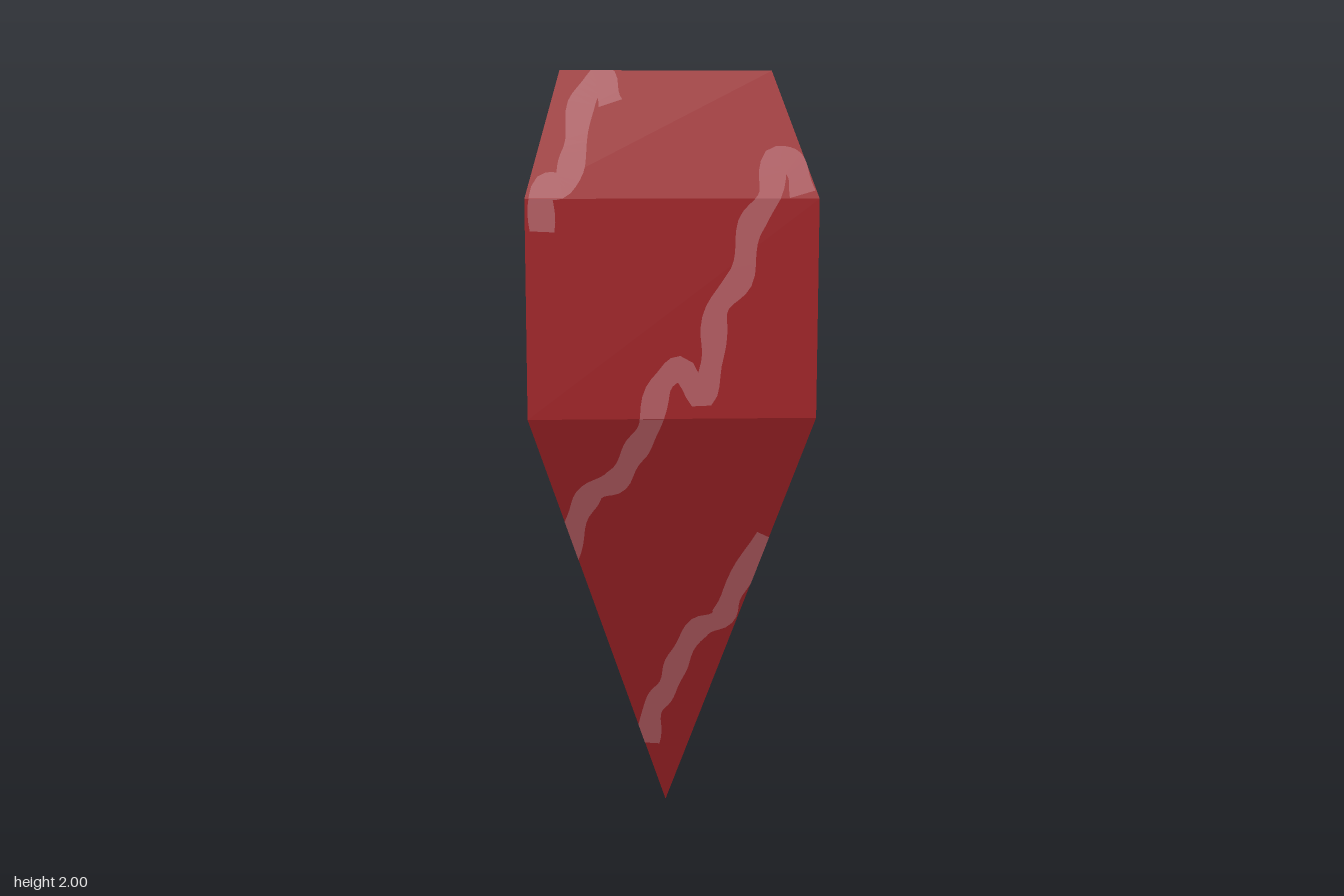
import * as THREE from 'three';

const V = (x, y, z) => new THREE.Vector3(x, y, z);

// Horizontal rings of the gem: corners run counter-clockwise seen from above, from front left
const ring = (x0, x1, z0, z1, y) => [V(x0, y, z1), V(x1, y, z1), V(x1, y, z0), V(x0, y, z0)];
const crown = ring(-0.274, 0.248, -0.275, 0.27, 2);
const shoulder = ring(-0.362, 0.362, -0.337, 0.337, 1.69);
const girdle = ring(-0.362, 0.362, -0.337, 0.337, 1.145);
const tip = V(0, 0, -0.01);

// Flat coordinates of each side as seen when facing it
const flat = {
  front: p => [p.x, p.y],
  right: p => [-p.z, p.y],
  back: p => [-p.x, p.y],
  left: p => [p.z, p.y],
  top: p => [p.x, -p.z],
};

// Centre lines of the veins on each side
const veins = {
  front: [
    [[-0.27, 0.76], [-0.24, 0.88], [-0.2, 0.95], [-0.14, 0.98], [-0.1, 1.05], [-0.06, 1.12], [-0.03, 1.23], [0.02, 1.27],
      [0.07, 1.2], [0.1, 1.3], [0.11, 1.42], [0.17, 1.5], [0.19, 1.62], [0.24, 1.7], [0.255, 1.79], [0.3, 1.77], [0.32, 1.7]],
    [[-0.32, 1.61], [-0.315, 1.72], [-0.27, 1.72], [-0.24, 1.8], [-0.22, 1.92], [-0.17, 1.98], [-0.15, 1.92]],
    [[-0.05, 0.19], [-0.04, 0.3], [0, 0.37], [0.03, 0.46], [0.08, 0.55], [0.14, 0.58], [0.17, 0.66], [0.25, 0.82]],
  ],
  right: [
    [[-0.27, 0.9], [-0.23, 1.03], [-0.17, 1.08], [-0.13, 1.18], [-0.09, 1.29], [-0.04, 1.33], [0, 1.23], [0.02, 1.37],
      [0.04, 1.5], [0.09, 1.58], [0.12, 1.7], [0.17, 1.77], [0.23, 1.76], [0.225, 1.87], [0.215, 2.02]],
    [[-0.09, 0.3], [-0.04, 0.48], [0.02, 0.6], [0.09, 0.65], [0.14, 0.73], [0.19, 0.85], [0.27, 0.93]],
    [[-0.265, 2.02], [-0.29, 1.88], [-0.32, 1.76]],
  ],
  back: [
    [[0.18, 1.96], [0.2, 1.85], [0.13, 1.78], [0.05, 1.72], [0, 1.62], [-0.04, 1.53], [-0.08, 1.42], [-0.11, 1.3],
      [-0.19, 1.24], [-0.25, 1.16], [-0.32, 1.05]],
    [[0.37, 1.18], [0.29, 1.03], [0.24, 0.94], [0.16, 0.9], [0.12, 0.8], [0.04, 0.75], [-0.03, 0.66], [-0.08, 0.55], [-0.13, 0.41]],
  ],
  left: [
    [[0.09, 1.98], [0.1, 1.88], [0.04, 1.84], [0, 1.77], [-0.07, 1.71], [-0.1, 1.6], [-0.13, 1.46], [-0.2, 1.4],
      [-0.23, 1.28], [-0.29, 1.2], [-0.33, 1.06]],
    [[0.34, 1.35], [0.28, 1.19], [0.21, 1.02], [0.14, 0.93], [0.08, 0.83], [-0.02, 0.77], [-0.08, 0.66]],
  ],
  top: [
    [[-0.095, 0.29], [-0.09, 0.22], [-0.045, 0.18], [-0.03, 0.135], [0.035, 0.11], [0.05, 0.08], [0.045, 0.035],
      [0.09, -0.005], [0.11, -0.065], [0.175, -0.085], [0.18, -0.145], [0.215, -0.195], [0.245, -0.28]],
    [[-0.29, 0.015], [-0.215, 0.005], [-0.21, -0.06], [-0.18, -0.1], [-0.15, -0.115], [-0.15, -0.16], [-0.12, -0.18],
      [-0.075, -0.19], [-0.082, -0.28]],
    [[0.21, 0.29], [0.215, 0.24], [0.26, 0.22]],
  ],
};

// Facets, each with its corners counter-clockwise seen from outside
function listFacets() {
  const facets = [{ side: 'top', corners: crown }];
  ['front', 'right', 'back', 'left'].forEach((side, i) => {
    const j = (i + 1) % 4;
    facets.push({ side, corners: [shoulder[i], shoulder[j], crown[j], crown[i]] });
    facets.push({ side, corners: [girdle[i], girdle[j], shoulder[j], shoulder[i]] });
    facets.push({ side, corners: [tip, girdle[j], girdle[i]] });
  });
  return facets;
}

const cross = (a, b, c) => (b[0] - a[0]) * (c[1] - a[1]) - (b[1] - a[1]) * (c[0] - a[0]);

// Triangles of a wavy ribbon along a centre line
function ribbon(points, width) {
  const curve = new THREE.CatmullRomCurve3(points.map(p => V(p[0], p[1], 0)));
  const n = points.length * 5;
  const pairs = [];
  for (let i = 0; i <= n; i++) {
    const p = curve.getPoint(i / n), t = curve.getTangent(i / n);
    const w = width * 0.5 * (1 + 0.12 * Math.sin(i * 0.9));
    pairs.push([[p.x - t.y * w, p.y + t.x * w], [p.x + t.y * w, p.y - t.x * w]]);
  }
  const tris = [];
  for (let i = 0; i < n; i++) {
    const [a, b] = pairs[i], [c, d] = pairs[i + 1];
    tris.push([a, b, d], [a, d, c]);
  }
  return tris.map(t => (cross(...t) < 0 ? t.reverse() : t));
}

// Trim a polygon to a convex outline
function clip(poly, outline) {
  outline.forEach((a, i) => {
    const b = outline[(i + 1) % outline.length];
    const out = [];
    poly.forEach((p, k) => {
      const q = poly[(k + 1) % poly.length];
      const dp = cross(a, b, p), dq = cross(a, b, q);
      if (dp >= 0) out.push(p);
      if (dp * dq < 0) {
        const s = dp / (dp - dq);
        out.push([p[0] + (q[0] - p[0]) * s, p[1] + (q[1] - p[1]) * s]);
      }
    });
    poly = out;
  });
  return poly;
}

// Fan of triangles over a convex polygon
function fan(poly, out) {
  for (let i = 1; i + 1 < poly.length; i++) {
    for (const p of [poly[0], poly[i], poly[i + 1]]) out.push(p.x, p.y, p.z);
  }
}

function mesh(name, positions, material) {
  const g = new THREE.BufferGeometry();
  g.setAttribute('position', new THREE.Float32BufferAttribute(positions, 3));
  g.computeVertexNormals();
  const m = new THREE.Mesh(g, material);
  m.name = name;
  return m;
}

export function createModel() {
  const red = new THREE.MeshStandardMaterial({ color: 0xaa2529 });
  red.name = 'deep red';
  const pink = new THREE.MeshStandardMaterial({ color: 0xbf6268 });
  pink.name = 'dusty pink';
  const model = new THREE.Group();
  model.name = 'crystal';
  const body = [], veinParts = {};

  for (const { side, corners } of listFacets()) {
    fan(corners, body);
    // Lay the veins of this side onto the facet
    const [p0, p1, p2] = corners;
    const e1 = p1.clone().sub(p0), e2 = p2.clone().sub(p0);
    const lift = e1.clone().cross(e2).normalize().multiplyScalar(0.002);
    const outline = corners.map(flat[side]);
    const area = cross(outline[0], outline[1], outline[2]);
    const place = q => p0.clone().add(lift)
      .addScaledVector(e1, cross(outline[0], q, outline[2]) / area)
      .addScaledVector(e2, cross(outline[0], outline[1], q) / area);
    const target = (veinParts[side] ??= []);
    for (const line of veins[side]) {
      for (const tri of ribbon(line, side === 'top' ? 0.038 : 0.06)) {
        const piece = clip(tri, outline);
        if (piece.length > 2) fan(piece.map(place), target);
      }
    }
  }

  model.add(mesh('gemBody', body, red));
  for (const side in veinParts) model.add(mesh(side + 'Veins', veinParts[side], pink));
  return model;
}
